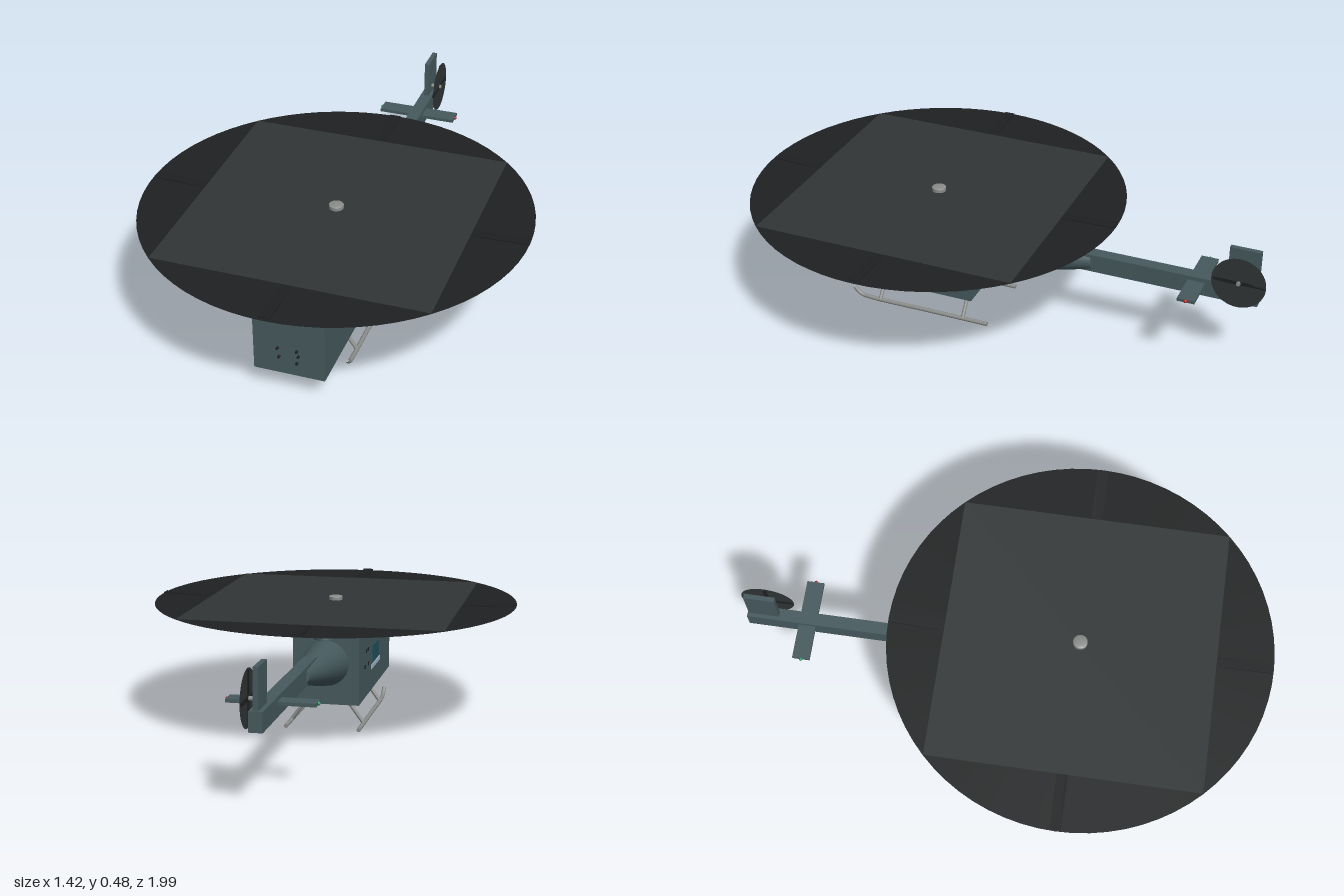
import * as THREE from 'three';

const mat = (color, double = false) => new THREE.MeshStandardMaterial({
  color, side: double ? THREE.DoubleSide : THREE.FrontSide });
const paint = mat(0x465a5e), dark = mat(0x1d1f21), metal = mat(0x8a8c8a);
const black = mat(0x1e2021, true), haze = mat(0x303536, true);
const glass = mat(0x24505c), trim = mat(0x9fb4c8), lens = mat(0xa08c74);
const red = mat(0xb02a2a), green = mat(0x1f9a5a);

export function createModel() {
  const root = new THREE.Group();

  const add = (name, geo, material, pos = [0, 0, 0], parent = root) => {
    const m = new THREE.Mesh(geo, material);
    m.name = name;
    m.position.set(...pos);
    parent.add(m);
    return m;
  };
  const box = (name, size, pos, material, parent) =>
    add(name, new THREE.BoxGeometry(...size), material, pos, parent);
  // Round bar between two points, r0 at the start and r1 at the end
  const bar = (name, a, b, r0, r1, material, parent) => {
    const p = new THREE.Vector3(...a), q = new THREE.Vector3(...b);
    const d = q.clone().sub(p);
    const m = add(name, new THREE.CylinderGeometry(r1, r0, d.length(), 24), material,
      p.clone().add(q).multiplyScalar(0.5).toArray(), parent);
    m.quaternion.setFromUnitVectors(new THREE.Vector3(0, 1, 0), d.normalize());
    return m;
  };

  // Cabin, tapering rear fuselage and square tail boom
  box('cabin', [0.26, 0.275, 0.68], [0, 0.2225, 0.44], paint);
  bar('tailCone', [0, 0.247, 0.12], [0, 0.3, -0.34], 0.092, 0.033, paint);
  box('tailBoom', [0.048, 0.07, 0.8], [0, 0.3, -0.57], paint);

  // Engine cowling on the roof: flat-topped oval dome
  const cowl = add('engineCowling', new THREE.LatheGeometry([
    [0, 0.405], [0.5, 0.402], [0.78, 0.393], [0.94, 0.38], [1, 0.365], [1, 0.35],
  ].reverse().map(([r, y]) => new THREE.Vector2(r, y)), 40), paint, [0, 0, 0.22]);
  cowl.scale.set(0.07, 1, 0.19);
  for (const s of [-1, 1]) {
    bar('engineIntake', [s * 0.06, 0.372, 0.3], [s * 0.06, 0.372, 0.16], 0.017, 0.017, paint);
    bar('exhaustPipe', [s * 0.045, 0.368, 0.16], [s * 0.055, 0.378, 0.04], 0.014, 0.017, metal);
  }
  bar('whipAntenna', [0, 0.36, 0.52], [0, 0.405, 0.535], 0.002, 0.002, dark);

  // Main rotor: mast, hub, four upswept blades and the spinning disc
  const rotor = new THREE.Group();
  rotor.name = 'mainRotor';
  rotor.position.set(0, 0, 0.283);
  root.add(rotor);
  bar('mast', [0, 0.38, 0], [0, 0.45, 0], 0.018, 0.015, metal, rotor);
  bar('hub', [0, 0.44, 0], [0, 0.466, 0], 0.024, 0.024, dark, rotor);
  bar('hubCap', [0, 0.464, 0], [0, 0.476, 0], 0.027, 0.027, metal, rotor);
  const dome = add('hubDome', new THREE.SphereGeometry(0.027, 24, 10, 0, Math.PI * 2, 0, Math.PI / 2),
    metal, [0, 0.476, 0], rotor);
  dome.scale.y = 0.2;
  for (let i = 0; i < 4; i++) {
    const geo = new THREE.BoxGeometry(0.68, 0.004, 0.04);
    geo.translate(0.36, 0, 0);
    geo.rotateZ(0.034);
    add('rotorBlade', geo, dark, [0, 0.443, 0], rotor).rotation.y = i * Math.PI / 2;
  }
  const disc = new THREE.CircleGeometry(0.708, 72);
  disc.rotateX(-Math.PI / 2);
  add('rotorDisc', disc, black, [0, 0.461, 0], rotor);
  const sheet = new THREE.PlaneGeometry(1, 1);
  sheet.rotateX(-Math.PI / 2);
  add('rotorBlurSheet', sheet, haze, [0, 0.4625, 0], rotor);

  // Tail surfaces and tail rotor
  box('tailFin', [0.018, 0.19, 0.115], [0, 0.385, -0.908], paint);
  box('stabilizer', [0.31, 0.012, 0.065], [0, 0.313, -0.742], paint);
  for (const s of [-1, 1])
    add('navigationLight', new THREE.SphereGeometry(0.007, 12, 8), s > 0 ? red : green,
      [s * 0.156, 0.313, -0.742]);
  bar('tailRotorShaft', [0, 0.36, -0.9], [0.05, 0.36, -0.9], 0.008, 0.008, metal);
  const tailDisc = new THREE.CircleGeometry(0.1, 48);
  tailDisc.rotateY(Math.PI / 2);
  add('tailRotorDisc', tailDisc, haze, [0.043, 0.36, -0.9]);
  for (let i = 0; i < 2; i++) {
    const blade = box('tailRotorBlade', [0.004, 0.19, 0.014], [0.041, 0.36, -0.9], dark);
    blade.rotation.x = i * Math.PI / 2;
  }

  // Landing skids with upturned toes
  for (const s of [-1, 1]) {
    const path = new THREE.CatmullRomCurve3([
      [0.03, 0.008], [0.28, 0.008], [0.52, 0.008], [0.565, 0.015], [0.59, 0.04],
    ].map(([z, y]) => new THREE.Vector3(s * 0.143, y, z)));
    add('skid', new THREE.TubeGeometry(path, 40, 0.008, 12), metal);
    for (const z of [0.13, 0.48])
      bar('skidStrut', [s * 0.085, 0.09, z], [s * 0.143, 0.01, z], 0.007, 0.007, metal);
    bar('skidEnd', [s * 0.143, 0.008, 0.033], [s * 0.143, 0.008, 0.028], 0.008, 0.008, metal);
  }

  // Searchlight under the nose
  bar('searchlight', [0.057, 0.077, 0.65], [0.057, 0.07, 0.685], 0.015, 0.019, dark);
  add('searchlightLens', new THREE.SphereGeometry(0.018, 20, 12), lens, [0.057, 0.071, 0.678]);
  bar('searchlightMount', [0.057, 0.088, 0.665], [0.057, 0.07, 0.665], 0.006, 0.006, dark);

  // Side windows, trim strips and fittings on both flanks
  for (const s of [-1, 1]) {
    box('sideWindow', [0.006, 0.065, 0.14], [s * 0.131, 0.232, 0.44], glass);
    box('trimStrip', [0.006, 0.016, 0.19], [s * 0.131, 0.18, 0.445], trim);
    for (const [z, y] of [[0.28, 0.27], [0.245, 0.27], [0.225, 0.21], [0.29, 0.21]])
      box('sideFitting', [0.006, 0.014, 0.014], [s * 0.13, y, z], dark);
    box('boomVent', [0.004, 0.008, 0.06], [s * 0.024, 0.313, -0.742], red);
  }

  // Small nose fittings
  for (const [x, y] of [[-0.04, 0.19], [-0.035, 0.155], [0.03, 0.19], [0.036, 0.17], [0.03, 0.14]])
    bar('noseFitting', [x, y, 0.775], [x, y, 0.79], 0.006, 0.004, dark);

  return root;
}
